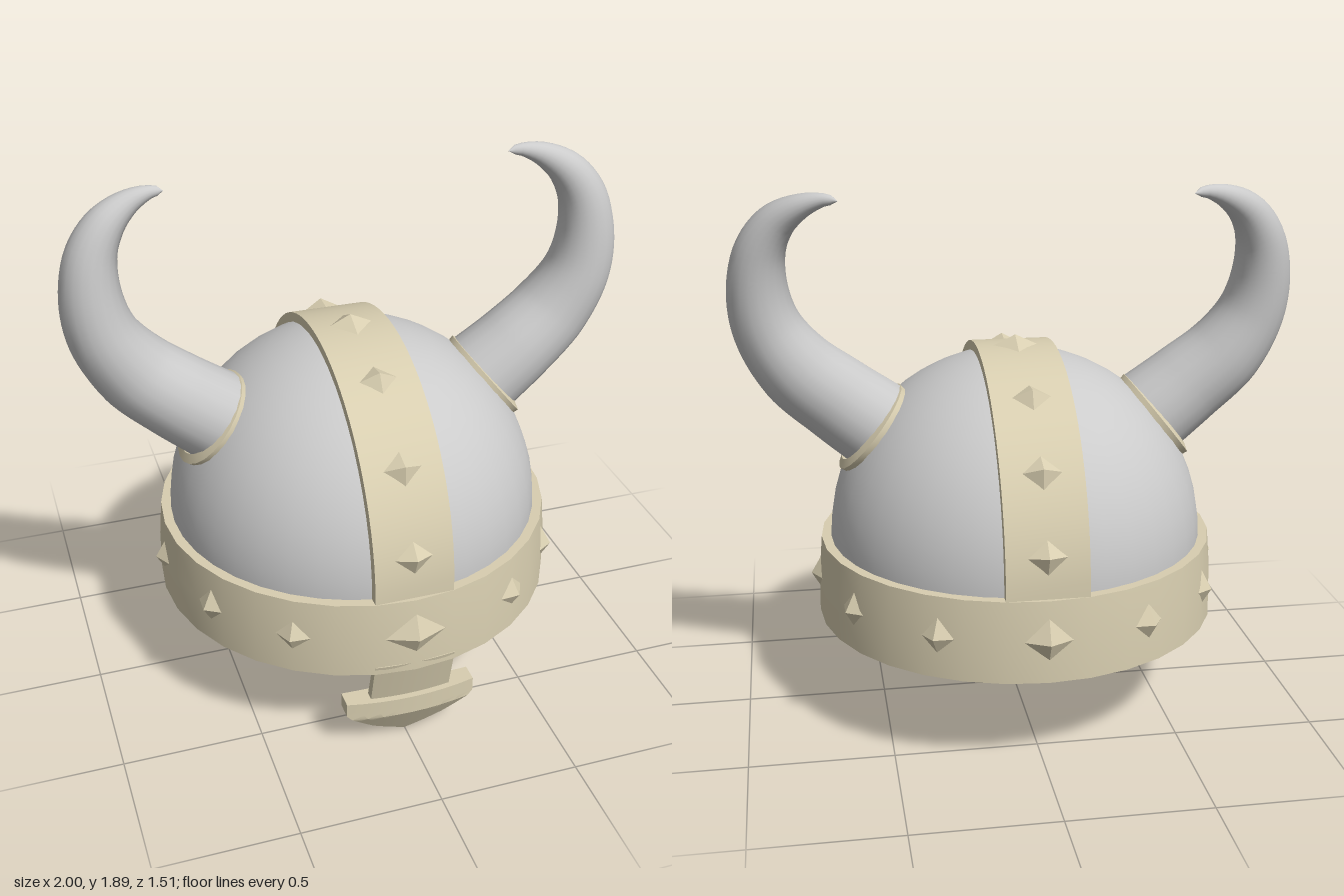
import * as THREE from 'three';
import { toCreasedNormals } from 'three/addons/utils/BufferGeometryUtils.js';

const DEG = Math.PI / 180;
const CENTER_Y = 0.63; // centre of the dome's curvature
const v2 = (x, y) => new THREE.Vector2(x, y);

export function createModel() {
  const model = new THREE.Group();
  const steel = new THREE.MeshStandardMaterial({ color: 0xcccccc, side: THREE.DoubleSide });
  const brass = new THREE.MeshStandardMaterial({ color: 0xd8ceb0, side: THREE.DoubleSide });
  const studBrass = new THREE.MeshStandardMaterial({ color: 0xd8ceb0, flatShading: true });

  const add = (name, geometry, material) => {
    const mesh = new THREE.Mesh(geometry, material);
    mesh.name = name;
    model.add(mesh);
    return mesh;
  };

  // Dome shell
  const dome = new THREE.SphereGeometry(0.675, 40, 14, 0, Math.PI * 2, 0, Math.PI / 2);
  add('dome', dome, steel).position.y = CENTER_Y;

  // Brow band around the bottom
  const bandProfile = [
    v2(0.69, 0.35), v2(0.725, 0.35), v2(0.722, 0.5), v2(0.71, 0.635),
    v2(0.66, 0.635), v2(0.685, 0.5), v2(0.69, 0.35),
  ];
  add('browBand', toCreasedNormals(new THREE.LatheGeometry(bandProfile, 32), 0.6), brass);

  // Crest strip running front to back over the dome
  const arch = new THREE.Shape();
  arch.absarc(0, 0, 0.695, 0, Math.PI, false);
  arch.absarc(0, 0, 0.648, Math.PI, 0, true);
  const strip = new THREE.ExtrudeGeometry(arch, { depth: 0.28, bevelEnabled: false, curveSegments: 20 });
  strip.translate(0, 0, -0.14);
  strip.rotateY(Math.PI / 2);
  add('crestStrip', toCreasedNormals(strip, 0.6), brass).position.y = CENTER_Y;

  // Pyramid studs, pointing outwards from a centre height
  const addStud = (name, y, rotX, rotY, halfWidth, halfHeight, base, height) => {
    const cone = new THREE.ConeGeometry(1, height, 4, 1, true);
    cone.scale(halfWidth, 1, halfHeight);
    cone.rotateX(Math.PI / 2);
    cone.translate(0, 0, base + height / 2);
    const stud = add(name, cone, studBrass);
    stud.position.y = y;
    stud.rotation.set(rotX * DEG, rotY * DEG, 0);
  };
  addStud('frontStud', 0.495, 0, 0, 0.125, 0.105, 0.705, 0.05);
  addStud('backStud', 0.495, 0, 180, 0.1, 0.1, 0.705, 0.05);
  for (const side of [1, -1]) {
    for (const angle of [34, 61, 90, 120.5, 150]) {
      addStud('bandStud', 0.495, 0, side * angle, 0.09, 0.09, 0.7, 0.052);
    }
  }
  for (const angle of [77, 52, 25, -31, -55, -78]) {
    addStud('crestStud', CENTER_Y, angle - 90, 0, 0.085, 0.07, 0.684, 0.048);
  }
  addStud('topStud', CENTER_Y, -91, 0, 0.1, 0.095, 0.684, 0.048);

  // Nose guard pieces: slabs curved with the brow
  const addSlab = (name, y0, y1, rows, halfWidth, front, back) => {
    const geo = new THREE.BoxGeometry(2, 1, 1, 8, rows, 1);
    const pos = geo.attributes.position;
    for (let i = 0; i < pos.count; i++) {
      const y = y0 + (pos.getY(i) + 0.5) * (y1 - y0);
      const x = pos.getX(i) * halfWidth(y);
      const z = pos.getZ(i) > 0 ? front(y) - x * x * 0.5 : back(y) - x * x * 0.1;
      pos.setXYZ(i, x, y, z);
    }
    add(name, toCreasedNormals(geo, 0.5), brass);
  };
  addSlab('noseGuardStem', 0.19, 0.38, 2, () => 0.145,
    (y) => 0.68 + (y - 0.2) * 0.24, (y) => 0.638 + (y - 0.2) * 0.28);
  const headWidth = (y) => {
    if (y > 0.155) return 0.235;
    if (y > 0.07) return 0.13 + (y - 0.07) / 0.085 * 0.105;
    return y / 0.07 * 0.13;
  };
  addSlab('noseGuardHead', 0, 0.21, 12, headWidth,
    (y) => 0.625 + 0.08 * Math.min(1, y / 0.14), () => 0.618);

  // Horns: x, y, z, radius along the centre line
  const hornPath = [
    [0.5, 1.05, 0, 0.163], [0.63, 1.15, 0, 0.153], [0.77, 1.27, -0.01, 0.142],
    [0.862, 1.41, -0.012, 0.122], [0.892, 1.55, -0.022, 0.106], [0.876, 1.69, -0.04, 0.088],
    [0.82, 1.785, -0.06, 0.068], [0.74, 1.84, -0.085, 0.044], [0.665, 1.862, -0.1, 0.024],
    [0.62, 1.86, -0.108, 0.012], [0.612, 1.858, -0.109, 0],
  ];
  const collarProfile = [
    v2(0.152, 0.652), v2(0.18, 0.645), v2(0.184, 0.668), v2(0.152, 0.68), v2(0.152, 0.652),
  ];
  for (const side of [1, -1]) {
    const label = side > 0 ? 'left' : 'right';
    const curve = new THREE.CatmullRomCurve3(
      hornPath.map(([x, y, z]) => new THREE.Vector3(side * x, y, z)));
    const rings = 48, sides = 20;
    const horn = new THREE.TubeGeometry(curve, rings, 1, sides, false);
    const pos = horn.attributes.position;
    const p = new THREE.Vector3();
    for (let i = 0; i <= rings; i++) {
      const center = curve.getPointAt(i / rings);
      const t = curve.getUtoTmapping(i / rings) * (hornPath.length - 1);
      const k = Math.min(Math.floor(t), hornPath.length - 2);
      const radius = THREE.MathUtils.lerp(hornPath[k][3], hornPath[k + 1][3], t - k);
      for (let j = 0; j <= sides; j++) {
        const n = i * (sides + 1) + j;
        p.fromBufferAttribute(pos, n).sub(center).multiplyScalar(radius).add(center);
        pos.setXYZ(n, p.x, p.y, p.z);
      }
    }
    add(label + 'Horn', horn, steel);

    // Collar where the horn meets the dome
    const collar = add(label + 'HornCollar',
      toCreasedNormals(new THREE.LatheGeometry(collarProfile, 24), 0.6), brass);
    collar.position.set(0, CENTER_Y, -0.005);
    collar.rotation.z = -side * 51.5 * DEG;
  }
  return model;
}
